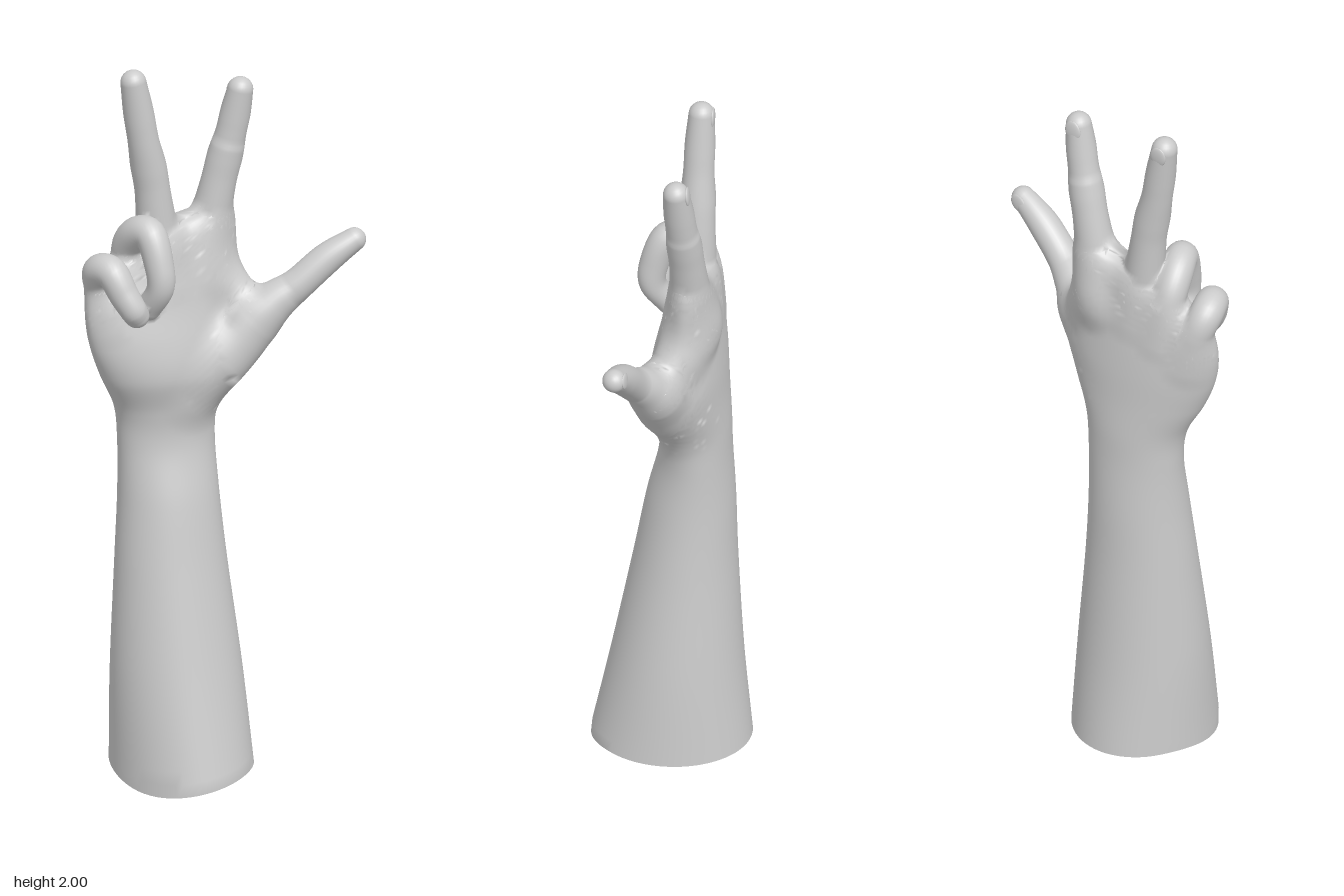
import * as THREE from 'three';

const V = (x, y, z) => new THREE.Vector3(x, y, z);
const { smoothstep, lerp, clamp } = THREE.MathUtils;
const skin = new THREE.MeshStandardMaterial({ color: 0xcccccc, side: THREE.DoubleSide });
const ANGLE = 0.8;
const ACROSS = V(Math.cos(ANGLE), 0, -Math.sin(ANGLE)); // little finger side to index side
const BACK = V(-Math.sin(ANGLE), 0, -Math.cos(ANGLE));  // out of the back of the hand
const smoothCurve = (pts) => new THREE.CatmullRomCurve3(pts, false, 'catmullrom', 0.5);

// Forearm and palm: y, centre x, centre z, half width, half thickness
const ARM = [
  [0.04, -0.097, 0.040, 0.188, 0.217], [0.30, -0.113, 0.035, 0.178, 0.178],
  [0.60, -0.132, 0.025, 0.154, 0.141], [0.80, -0.143, 0.015, 0.140, 0.120],
  [0.95, -0.152, 0.006, 0.138, 0.099], [1.05, -0.150, 0.010, 0.150, 0.100],
  [1.15, -0.145, 0.026, 0.192, 0.108], [1.25, -0.146, 0.032, 0.222, 0.106],
  [1.35, -0.152, 0.034, 0.222, 0.094], [1.44, -0.152, 0.024, 0.210, 0.076],
  [1.50, -0.145, 0.012, 0.185, 0.062], [1.535, -0.140, 0.005, 0.140, 0.042],
  [1.55, -0.140, 0.005, 0.080, 0.015],
];

// Radii from root to tip, shared by the raised and by the curled fingers
const RAISED = [0.045, 0.054, 0.048, 0.048, 0.042, 0.041, 0.035];
const CURLED = [0.042, 0.046, 0.040, 0.034];

// Fingers: blend is the softness of the join to the palm, reach is how far
// along the finger that softness lasts
const FINGERS = [
  { name: 'thumbWeb', hint: BACK, blend: 0.06, reach: 3, radii: [0.05, 0.052, 0.045],
    path: [[-0.09, 1.42, -0.07], [-0.01, 1.355, -0.09], [0.07, 1.29, -0.1]] },
  { name: 'thumb', hint: V(0.3, 1, 0.3), blend: 0.08, reach: 0.8, nail: true,
    radii: [0.045, 0.07, 0.074, 0.057, 0.045, 0.042, 0.032],
    path: [[-0.09, 1.08, 0], [-0.01, 1.16, -0.04], [0.052, 1.25, -0.083], [0.113, 1.315, -0.107],
      [0.172, 1.364, -0.131], [0.242, 1.433, -0.173], [0.305, 1.48, -0.216]] },
  { name: 'middleFinger', hint: ACROSS, blend: 0.06, reach: 0.5, nail: true, radii: RAISED,
    path: [[-0.16, 1.4, 0.02], [-0.18, 1.65, 0.035], [-0.2, 1.8, 0.054], [-0.222, 1.965, 0.07]] },
  { name: 'indexFinger', hint: ACROSS, blend: 0.06, reach: 0.5, nail: true, radii: RAISED,
    path: [[-0.085, 1.4, -0.07], [-0.038, 1.65, -0.098], [-0.008, 1.785, -0.111], [0.016, 1.908, -0.119]] },
  { name: 'ringFinger', hint: ACROSS, blend: 0.05, reach: 0.4, radii: CURLED,
    path: [[-0.22, 1.36, 0.07], [-0.235, 1.48, 0.08], [-0.205, 1.545, 0.105], [-0.155, 1.56, 0.13],
      [-0.125, 1.49, 0.147], [-0.118, 1.42, 0.15], [-0.157, 1.352, 0.132]] },
  { name: 'littleFinger', hint: ACROSS, blend: 0.05, reach: 0.4, radii: CURLED,
    path: [[-0.26, 1.3, 0.13], [-0.288, 1.4, 0.145], [-0.282, 1.455, 0.172], [-0.24, 1.463, 0.197],
      [-0.205, 1.41, 0.204], [-0.18, 1.37, 0.202], [-0.172, 1.348, 0.19]] },
];

// Evenly sampled centre lines
const armPath = smoothCurve(ARM.map((s) => V(s[1], s[0], s[2])));
const armShape = smoothCurve(ARM.map((s) => V(s[3], s[4], 0)));
const armRings = Array.from({ length: 97 }, (_, i) => {
  const s = armShape.getPoint(i / 96);
  return { c: armPath.getPoint(i / 96), a: s.x, b: s.y };
});
for (const f of FINGERS) {
  const line = smoothCurve(f.path.map((p) => V(...p)));
  const size = smoothCurve(f.radii.map((r) => V(r, 0, 0)));
  f.rings = Array.from({ length: 41 }, (_, i) => (
    { c: line.getPoint(i / 40), t: line.getTangent(i / 40), r: size.getPoint(i / 40).x }));
}

// The knuckle end of the palm rises towards the index side; its inner face is flatter
const knuckleTilt = (y) => 0.3 * smoothstep(y, 1.25, 1.5);
const palmFlatness = (y) => 1 - 0.22 * smoothstep(y, 1.12, 1.35);

// Signed distance to the forearm and palm
function armDistance(p) {
  const y = p.y - knuckleTilt(p.y) * ((p.x + 0.15) * ACROSS.x + p.z * ACROSS.z);
  const last = armRings.length - 1;
  let i = 0;
  while (i < last - 1 && armRings[i + 1].c.y < y) i++;
  const A = armRings[i], B = armRings[i + 1];
  const h = clamp((y - A.c.y) / (B.c.y - A.c.y), 0, 1);
  const dx = p.x - lerp(A.c.x, B.c.x, h), dz = p.z - lerp(A.c.z, B.c.z, h);
  const s = dx * ACROSS.x + dz * ACROSS.z, o = dx * BACK.x + dz * BACK.z;
  const a = lerp(A.a, B.a, h), b = lerp(A.b, B.b, h) * (o < 0 ? palmFlatness(y) : 1);
  const q = Math.hypot(s / a, o / b) + 1e-6;
  const d = ((q - 1) * q) / (Math.hypot(s / (a * a), o / (b * b)) + 1e-6);
  const above = y - armRings[last].c.y;
  return above > 0 ? Math.hypot(Math.max(d, 0), above) : d;
}

// Signed distance to the whole hand, each finger melting softly into the palm
const ab = V(0, 0, 0), ap = V(0, 0, 0);
function handDistance(p) {
  let total = armDistance(p);
  for (const { rings, blend, reach } of FINGERS) {
    let d = Infinity, along = 0;
    for (let i = 0; i < rings.length - 1; i++) {
      const A = rings[i], B = rings[i + 1];
      ab.subVectors(B.c, A.c);
      ap.subVectors(p, A.c);
      const h = clamp(ap.dot(ab) / ab.lengthSq(), 0, 1);
      const e = ap.addScaledVector(ab, -h).length() - lerp(A.r, B.r, h);
      if (e < d) { d = e; along = (i + h) / (rings.length - 1); }
    }
    const k = 0.004 + blend * (1 - smoothstep(along, 0, reach));
    const mix = Math.max(k - Math.abs(total - d), 0) / k;
    total = Math.min(total, d) - (mix * mix * k) / 4;
  }
  return total;
}

function slope(p, d) {
  const e = 0.001;
  return V(handDistance(V(p.x + e, p.y, p.z)) - d, handDistance(V(p.x, p.y + e, p.z)) - d,
    handDistance(V(p.x, p.y, p.z + e)) - d).divideScalar(e);
}

// Skins a list of rings, settling every point that is not buried onto the soft surface
function skinRings(name, rings) {
  const n = rings[0].length, last = (rings.length - 1) * n, pos = [], normal = [], index = [];
  const tip = V(0, 0, 0);
  rings[rings.length - 1].forEach((p) => tip.addScaledVector(p, 1 / n));
  for (const p of [...rings.flat(), tip]) {
    let d = handDistance(p), g = slope(p, d);
    if (d > -0.03) {
      for (let k = 0; k < 4; k++) {
        p.addScaledVector(g, -d / Math.max(g.lengthSq(), 0.3));
        d = handDistance(p);
        g = slope(p, d);
      }
    }
    g.normalize();
    pos.push(p.x, p.y, p.z);
    normal.push(g.x, g.y, g.z);
  }
  for (let j = 0; j < n; j++) {
    const k = (j + 1) % n;
    for (let i = 0; i < last; i += n) index.push(i + j, i + k, i + k + n, i + j, i + k + n, i + j + n);
    index.push(last + j, last + k, last + n);
  }
  const geo = new THREE.BufferGeometry();
  geo.setAttribute('position', new THREE.Float32BufferAttribute(pos, 3));
  geo.setAttribute('normal', new THREE.Float32BufferAttribute(normal, 3));
  geo.setIndex(index);
  const mesh = new THREE.Mesh(geo, skin);
  mesh.name = name;
  return mesh;
}

// One ring of points around c
const ringAround = (n, c, u, v, ru, rv) => Array.from({ length: n }, (_, j) => {
  const f = (j / n) * Math.PI * 2, sin = Math.sin(f);
  return c.clone().addScaledVector(u, Math.cos(f) * ru).addScaledVector(v, sin * rv(sin));
});

// Forearm and palm, open at the bottom with a hem that dips at the front
function armAndPalm() {
  return skinRings('forearmAndPalm', armRings.map(({ c, a, b }) => {
    const ring = ringAround(64, c, ACROSS, BACK, a, (sin) => (sin < 0 ? b * palmFlatness(c.y) : b));
    const hem = 0.04 * Math.max(0, 1 - (c.y - 0.04) / 0.3);
    for (const p of ring) {
      const front = Math.max(0, (p.z - c.z) / Math.hypot(p.x - c.x, p.z - c.z));
      p.y += knuckleTilt(c.y) * p.clone().sub(c).dot(ACROSS) - hem * front * front;
    }
    return ring;
  }));
}

// Finger with a rounded tip and an optional nail
function finger({ name, hint, rings, nail }) {
  const { c: end, t: dir, r: tipR } = rings[rings.length - 1];
  const round = [1, 2, 3, 4, 5, 6].map((k) => (k / 6.3) * Math.PI / 2).map((a) => (
    { c: end.clone().addScaledVector(dir, tipR * Math.sin(a)), t: dir, r: tipR * Math.cos(a) }));
  const group = new THREE.Group();
  group.name = name;
  group.add(skinRings(name + 'Flesh', [...rings, ...round].map(({ c, t, r }) => {
    const side = hint.clone().addScaledVector(t, -hint.dot(t)).normalize();
    return ringAround(28, c, side, t.clone().cross(side), r, () => r);
  })));
  if (nail) {
    const out = BACK.clone().addScaledVector(dir, -BACK.dot(dir)).normalize();
    const plate = new THREE.Mesh(new THREE.SphereGeometry(1, 20, 12), skin);
    plate.name = name + 'Nail';
    plate.applyMatrix4(new THREE.Matrix4().makeBasis(dir.clone().cross(out), dir, out));
    plate.scale.set(tipR * 0.7, tipR * 0.85, tipR * 0.2);
    plate.position.copy(end).addScaledVector(out, tipR * 0.86).addScaledVector(dir, -tipR * 0.25);
    group.add(plate);
  }
  return group;
}

export function createModel() {
  const hand = new THREE.Group();
  hand.name = 'hand';
  hand.add(armAndPalm(), ...FINGERS.map(finger));
  return hand;
}
